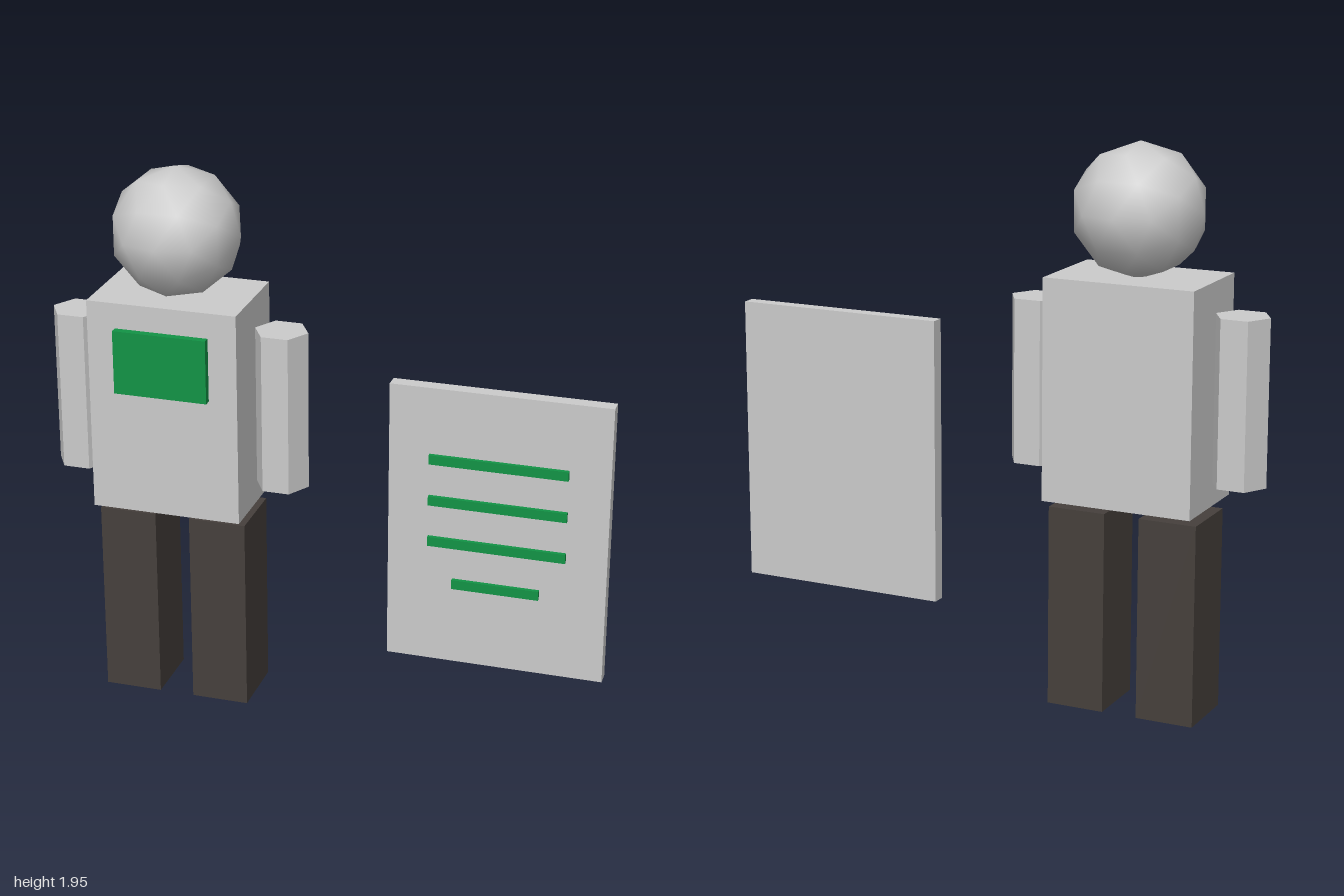
import * as THREE from 'three';

const grey = new THREE.MeshStandardMaterial({ color: 0xcccccc, flatShading: true });
const skin = new THREE.MeshStandardMaterial({ color: 0xcccccc });
const green = new THREE.MeshStandardMaterial({ color: 0x129446 });
const dark = new THREE.MeshStandardMaterial({ color: 0x46403c });

function add(parent, name, geometry, material, x, y, z) {
  const mesh = new THREE.Mesh(geometry, material);
  mesh.name = name;
  mesh.position.set(x, y, z);
  parent.add(mesh);
  return mesh;
}

function box(parent, name, material, w, h, d, x, y, z) {
  return add(parent, name, new THREE.BoxGeometry(w, h, d), material, x, y, z);
}

export function createModel() {
  const model = new THREE.Group();

  // Standing figure, centred on its own axis
  const figure = new THREE.Group();
  figure.name = 'figure';
  figure.position.x = -0.535;
  model.add(figure);

  box(figure, 'torso', grey, 0.535, 0.765, 0.356, 0, 1.122, 0);
  box(figure, 'chestBadge', green, 0.333, 0.228, 0.03, 0, 1.3, 0.19);

  // Low-poly ball with smooth normals
  const ball = new THREE.IcosahedronGeometry(0.229, 1).rotateY(Math.PI / 2);
  add(figure, 'head', ball, skin, 0, 1.722, 0);

  // Hexagonal arms with a flat face to the front, and box legs
  for (const [side, s] of [['left', 1], ['right', -1]]) {
    const arm = new THREE.CylinderGeometry(0.095, 0.095, 0.572, 6).rotateY(Math.PI / 6);
    add(figure, side + 'Arm', arm, grey, s * 0.37, 1.116, 0);
    box(figure, side + 'Leg', dark, 0.205, 0.705, 0.242, s * 0.165, 0.3525, 0);
  }

  // Notice board with raised stripes
  const board = new THREE.Group();
  board.name = 'noticeBoard';
  board.position.x = 0.615;
  model.add(board);

  box(board, 'panel', grey, 0.767, 1.02, 0.05, 0, 0.765, 0.025);
  for (let i = 0; i < 4; i++) {
    const width = i < 3 ? 0.482 : 0.306;
    box(board, 'stripe' + (i + 1), green, width, 0.034, 0.026, 0, 1.018 - i * 0.153, 0.051);
  }

  return model;
}
